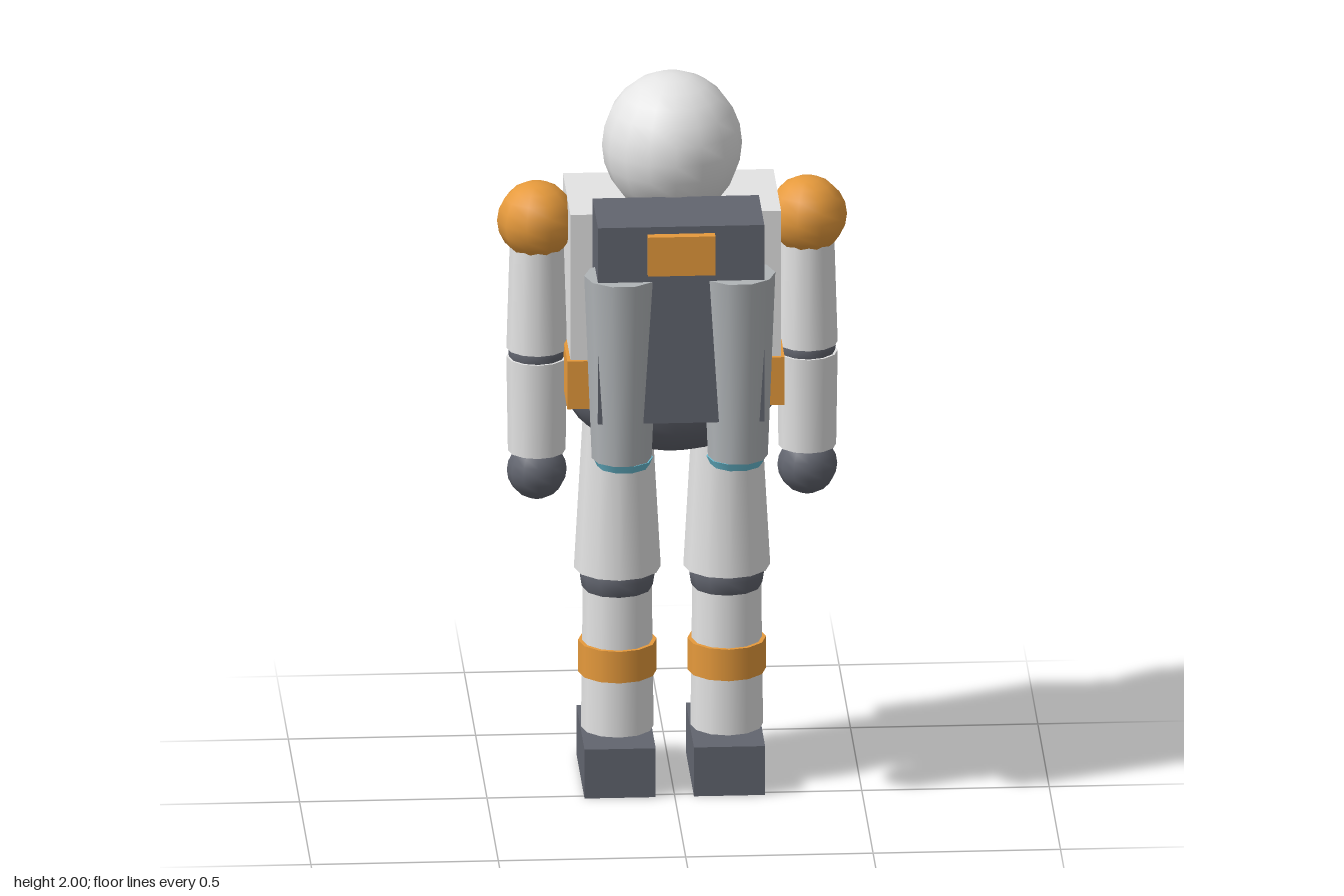
import * as THREE from 'three';

export function createModel() {
  const root = new THREE.Group();
  root.name = 'astronaut';
  const material = (name, color) => {
    const m = new THREE.MeshStandardMaterial({ color });
    m.name = name;
    return m;
  };
  const white = material('suit white', 0xe4e4e4);
  const orange = material('trim orange', 0xe69a3c);
  const dark = material('dark grey', 0x62656f);
  const grey = material('tank grey', 0xb0b4b7);
  const teal = material('glow teal', 0x6cc0d6);
  const gold = material('visor gold', 0xdcc070);

  const Z = -0.105; // body axis

  const add = (name, geometry, mat, x, y, z) => {
    const mesh = new THREE.Mesh(geometry, mat);
    mesh.name = name;
    mesh.position.set(x, y, z);
    root.add(mesh);
    return mesh;
  };
  // Box given by its limits
  const box = (name, mat, x0, x1, y0, y1, z0, z1) =>
    add(name, new THREE.BoxGeometry(x1 - x0, y1 - y0, z1 - z0), mat,
      (x0 + x1) / 2, (y0 + y1) / 2, (z0 + z1) / 2);
  const ball = (name, mat, r, x, y, z, seg = 12, rows = 10) =>
    add(name, new THREE.SphereGeometry(r, seg, rows), mat, x, y, z);
  // Upright tapered tube between two heights, a corner turned to +x
  const tube = (name, mat, rTop, rBottom, y0, y1, x, z, seg = 12) =>
    add(name, new THREE.CylinderGeometry(rTop, rBottom, y1 - y0, seg).rotateY(Math.PI / 2),
      mat, x, (y0 + y1) / 2, z);

  // Helmet and visor
  ball('helmet', white, 0.197, 0, 1.803, Z, 16, 12).scale.x = 0.95;
  ball('visor', gold, 0.172, 0, 1.812, -0.153, 16, 12).scale.x = 0.97;

  // Torso, belt, hips
  box('torso', white, -0.281, 0.281, 1.2, 1.665, -0.272, 0.062);
  box('belt', orange, -0.29, 0.29, 1.12, 1.255, -0.283, 0.073);
  ball('hips', dark, 1, 0, 1.12, Z, 16, 12).scale.set(0.288, 0.175, 0.18);

  // Chest panel with its small light
  box('chestPanel', dark, -0.167, 0.167, 1.345, 1.565, -0.31, -0.26);
  box('chestLight', teal, -0.025, 0.025, 1.5, 1.56, -0.312, -0.306);

  // Backpack
  box('backpack', dark, -0.222, 0.222, 1.155, 1.71, 0.06, 0.298);
  box('backpackLabel', orange, -0.09, 0.09, 1.58, 1.69, 0.29, 0.325);

  for (const s of [1, -1]) {
    const side = s > 0 ? 'left' : 'right';

    // Thruster tank and nozzle
    tube(side + 'Tank', grey, 0.1, 0.08, 1.04, 1.555, s * 0.155, 0.238, 10);
    tube(side + 'Nozzle', teal, 0.08, 0.07, 1.018, 1.04, s * 0.151, 0.238, 10);

    // Arm
    const ax = s * 0.361;
    ball(side + 'Shoulder', orange, 0.106, ax, 1.595, Z, 10, 10);
    tube(side + 'UpperArm', white, 0.07, 0.081, 1.235, 1.6, ax, Z);
    ball(side + 'Elbow', dark, 0.076, ax, 1.222, Z);
    tube(side + 'Forearm', white, 0.081, 0.077, 0.945, 1.21, ax, Z);
    ball(side + 'Hand', dark, 0.08, ax, 0.89, Z);

    // Leg
    const lx = s * 0.146;
    tube(side + 'Thigh', white, 0.09, 0.116, 0.61, 1.08, lx, Z);
    ball(side + 'Knee', dark, 0.1, lx, 0.59, Z);
    tube(side + 'Shin', white, 0.092, 0.097, 0.16, 0.567, lx, Z);
    tube(side + 'ShinBand', orange, 0.105, 0.105, 0.316, 0.405, lx, Z);
    box(side + 'Boot', dark, lx - 0.095, lx + 0.095, 0, 0.138, -0.337, 0.02);
  }
  return root;
}
